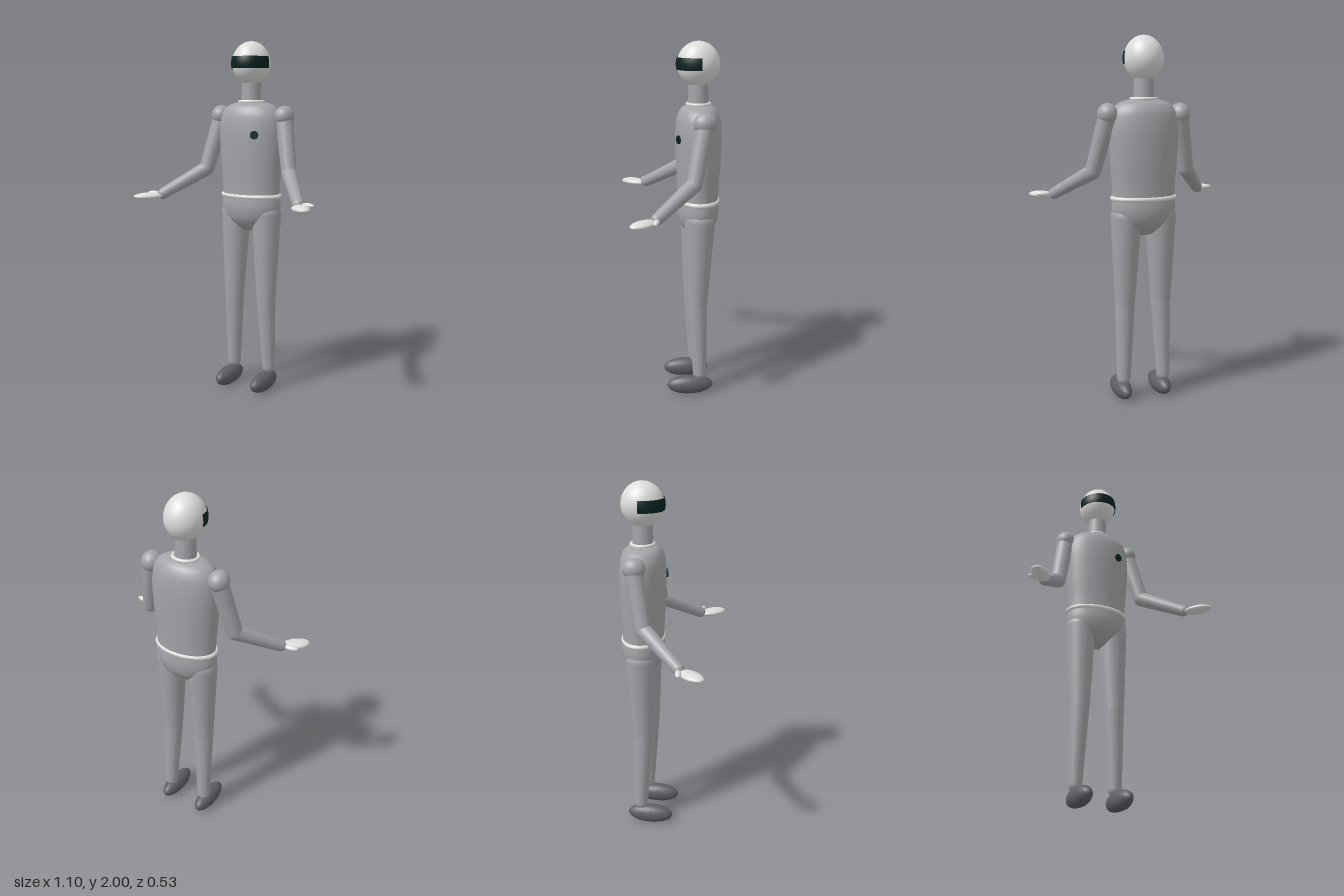
import * as THREE from 'three';

const mat = (name, color) => {
  const m = new THREE.MeshStandardMaterial({ color });
  m.name = name;
  return m;
};
const V = (x, y, z) => new THREE.Vector3(x, y, z);
const UP = V(0, 1, 0);
const CZ = -0.14; // depth of the body axis

export function createModel() {
  const suit = mat('suit grey', 0xa3a4a8);
  const pale = mat('pale shell', 0xdcdcda);
  const shoe = mat('shoe grey', 0x5e5f64);
  const dark = mat('visor black', 0x0a2321);
  dark.side = THREE.DoubleSide;

  const model = new THREE.Group();
  model.name = 'mannequin';
  const add = (name, geo, material, parent = model) => {
    const mesh = new THREE.Mesh(geo, material);
    mesh.name = name;
    parent.add(mesh);
    return mesh;
  };

  // Smooth turned body from [radius, y] pairs, flattened front to back
  const turned = (pairs, depth) => {
    const curve = new THREE.SplineCurve(pairs.map(([r, y]) => new THREE.Vector2(r, y)));
    const pts = curve.getPoints(48);
    pts.forEach((p) => { p.x = Math.max(p.x, 0); });
    return new THREE.LatheGeometry(pts, 64).scale(1, 1, depth).translate(0, 0, CZ);
  };

  // Elliptical ring lying flat
  const ring = (rx, rz, y, tube) => {
    const pts = [];
    for (let i = 0; i < 32; i++) {
      const a = (i / 32) * Math.PI * 2;
      pts.push(V(rx * Math.cos(a), y, CZ + rz * Math.sin(a)));
    }
    return new THREE.TubeGeometry(new THREE.CatmullRomCurve3(pts, true), 96, tube, 12, true);
  };

  // Tapered limb with round ends, from point a to point b
  const limb = (a, b, ra, rb) => {
    const len = a.distanceTo(b);
    const pts = [];
    for (let i = 0; i <= 8; i++) {
      const t = -Math.PI / 2 + (i / 8) * Math.PI / 2;
      pts.push(new THREE.Vector2(Math.max(ra * Math.cos(t), 0), ra * Math.sin(t)));
    }
    for (let i = 0; i <= 8; i++) {
      const t = (i / 8) * Math.PI / 2;
      pts.push(new THREE.Vector2(Math.max(rb * Math.cos(t), 0), len + rb * Math.sin(t)));
    }
    const q = new THREE.Quaternion().setFromUnitVectors(UP, b.clone().sub(a).normalize());
    return new THREE.LatheGeometry(pts, 32).applyQuaternion(q).translate(a.x, a.y, a.z);
  };

  // Ellipsoid, turned about y
  const blob = (c, rx, ry, rz, turn = 0) =>
    new THREE.SphereGeometry(1, 32, 24).scale(rx, ry, rz).rotateY(turn).translate(c.x, c.y, c.z);

  // Egg shaping: narrows the lower half of a unit sphere, then sizes it as the head
  const egg = (geo, grow) => {
    const p = geo.attributes.position;
    for (let i = 0; i < p.count; i++) {
      const y = p.getY(i);
      const k = (y < 0 ? 1 - 0.12 * y * y : 1) * grow;
      p.setXYZ(i, p.getX(i) * 0.106 * k, 1.877 + y * 0.123, -0.138 + p.getZ(i) * 0.117 * k);
    }
    geo.computeVertexNormals();
    return geo;
  };

  // Head, visor and neck
  add('head', egg(new THREE.SphereGeometry(1, 48, 32), 1), pale);
  add('visor', egg(new THREE.SphereGeometry(1, 48, 8, -0.06, Math.PI + 0.12, 1.25, 0.54), 1.045), dark);
  add('neck', new THREE.CylinderGeometry(0.053, 0.058, 0.18, 32).translate(0, 1.7, -0.138), suit);
  add('collar', ring(0.068, 0.06, 1.666, 0.01), pale);

  // Torso, belt and pelvis
  add('torso', turned([[0, 1.665], [0.08, 1.663], [0.138, 1.645], [0.17, 1.615], [0.188, 1.57],
    [0.196, 1.48], [0.189, 1.34], [0.178, 1.21], [0.175, 1.13]].reverse(), 0.645), suit);
  add('belt', ring(0.175, 0.108, 1.135, 0.013), pale);
  add('pelvis', turned([[0, 0.928], [0.06, 0.935], [0.115, 0.965], [0.16, 1.01], [0.18, 1.07],
    [0.176, 1.135]], 0.65), suit);

  // Chest badge, a thin disc lying on the curve of the chest
  const badge = add('chestBadge', new THREE.CylinderGeometry(0.023, 0.023, 0.009, 24).rotateX(Math.PI / 2), dark);
  badge.position.set(0.086, 1.485, -0.022);
  badge.rotation.y = 0.3;

  for (const s of [1, -1]) {
    const side = s > 0 ? 'left' : 'right';

    // Arm
    const arm = new THREE.Group();
    arm.name = side + 'Arm';
    model.add(arm);
    const shoulder = V(s * 0.207, 1.57, -0.148);
    const elbow = V(s * 0.271, 1.28, -0.088);
    const wrist = V(s * 0.435, 1.143, 0.122);
    add('shoulder', blob(V(s * 0.207, 1.587, -0.148), 0.055, 0.058, 0.062), suit, arm);
    add('upperArm', limb(shoulder, elbow, 0.05, 0.043), suit, arm);
    add('forearm', limb(elbow, wrist, 0.043, 0.032), suit, arm);
    add('hand', blob(V(s * 0.488, 1.131, 0.195), 0.046, 0.021, 0.083, s * 0.7), pale, arm);
    add('thumb', blob(V(s * 0.495, 1.142, 0.13), 0.016, 0.014, 0.04, s * 1.4), pale, arm);

    // Leg
    const leg = new THREE.Group();
    leg.name = side + 'Leg';
    model.add(leg);
    const hip = V(s * 0.1, 1.03, CZ);
    const knee = V(s * 0.106, 0.55, -0.13);
    const ankle = V(s * 0.117, 0.12, -0.145);
    add('thigh', limb(hip, knee, 0.085, 0.056), suit, leg);
    add('shin', limb(knee, ankle, 0.056, 0.038), suit, leg);

    // Shoe with a flat sole
    const foot = blob(V(s * 0.117, 0.047, -0.09), 0.049, 0.056, 0.132);
    const p = foot.attributes.position;
    for (let i = 0; i < p.count; i++) p.setY(i, Math.max(p.getY(i), 0));
    foot.computeVertexNormals();
    add('shoe', foot, shoe, leg);
  }
  return model;
}
